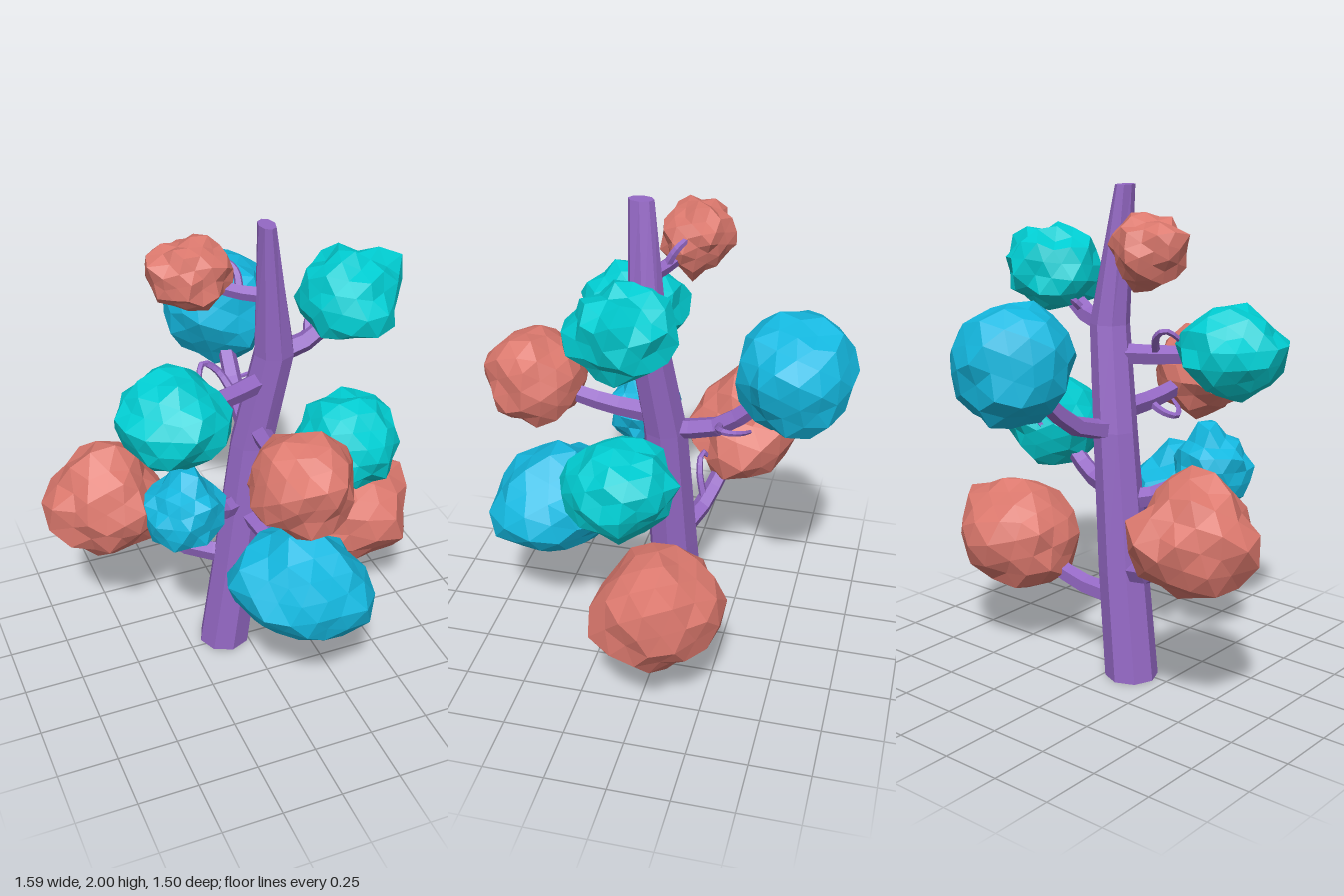
import * as THREE from 'three';
import { mergeVertices } from 'three/addons/utils/BufferGeometryUtils.js';

const RED = 0xdb786d, TEAL = 0x00cdd2, BLUE = 0x14b8e0, PURPLE = 0x9468c4;
const UP = new THREE.Vector3(0, 1, 0);

function seeded(seed) {
  let s = seed * 7919 + 17;
  return () => (s = (s * 16807) % 2147483647) / 2147483647;
}

function makeMesh(name, geometry, color) {
  const flat = geometry.toNonIndexed();
  flat.computeVertexNormals();
  const mesh = new THREE.Mesh(flat, new THREE.MeshStandardMaterial({ color, flatShading: true }));
  mesh.name = name;
  return mesh;
}

// Leaning trunk: rows of [y, centre x, centre z, radius x, radius z]
const trunkRows = [
  [0, -0.09, -0.03, 0.11, 0.11],
  [0.45, -0.035, -0.015, 0.103, 0.103],
  [1.03, 0.025, 0.005, 0.09, 0.09],
  [1.45, 0.095, 0.055, 0.082, 0.08],
  [2, 0.045, 0.09, 0.032, 0.05],
];

function trunk() {
  const n = trunkRows.length - 1;
  const geo = new THREE.CylinderGeometry(1, 1, 1, 8, n);
  const p = geo.attributes.position;
  for (let i = 0; i < p.count; i++) {
    const [y, cx, cz, rx, rz] = trunkRows[Math.round((p.getY(i) + 0.5) * n)];
    p.setXYZ(i, cx + p.getX(i) * rx, y, cz + p.getZ(i) * rz);
  }
  return makeMesh('trunk', geo, PURPLE);
}

// Point on the trunk's centre line at height y
function trunkCentre(y) {
  const i = trunkRows.findIndex((row) => row[0] > y);
  const [y0, x0, z0] = trunkRows[i - 1], [y1, x1, z1] = trunkRows[i];
  const t = (y - y0) / (y1 - y0);
  return new THREE.Vector3(x0 + (x1 - x0) * t, y, z0 + (z1 - z0) * t);
}

// Tapered tube along a curve
function limb(name, curve, r0, r1, segments) {
  const sides = 5;
  const geo = new THREE.TubeGeometry(curve, segments, 1, sides);
  const p = geo.attributes.position, q = new THREE.Vector3();
  for (let i = 0; i < p.count; i++) {
    const t = Math.floor(i / (sides + 1)) / segments;
    const c = curve.getPointAt(t);
    q.fromBufferAttribute(p, i).sub(c).multiplyScalar(r0 + (r1 - r0) * t).add(c);
    p.setXYZ(i, q.x, q.y, q.z);
  }
  return makeMesh(name, geo, PURPLE);
}

// Branch leaves the trunk nearly level, then sweeps to the clump
function branchCurve(start, end) {
  const steps = [[0, 0], [0.4, 0.15], [0.68, 0.5], [1, 1]];
  return new THREE.CatmullRomCurve3(steps.map(([out, rise]) => {
    const point = start.clone().lerp(end, out);
    point.y = start.y + (end.y - start.y) * rise;
    return point;
  }));
}

// Tendril hooks off the branch, swinging sideways and up or down
function tendrilCurve(branch, [side, lift]) {
  const base = branch.getPointAt(0.37);
  const along = branch.getTangentAt(0.37).setY(0).normalize();
  const across = along.clone().cross(UP);
  return new THREE.CatmullRomCurve3([0, 0.25, 0.5, 0.75, 0.92].map((turn) => {
    const a = turn * Math.PI;
    return base.clone().addScaledVector(along, 0.065 * (1 - Math.cos(a)))
      .addScaledVector(across, side * Math.sin(a)).addScaledVector(UP, lift * Math.sin(a));
  }));
}

// Faceted leaf clump with centre c and half-size r, roughened and pulled out at its peaks
function clump({ name, color, c, r, peaks = [], rough = 0.14 }, seed) {
  const rand = seeded(seed + 3);
  let geo = new THREE.IcosahedronGeometry(1, 2);
  geo.deleteAttribute('normal');
  geo.deleteAttribute('uv');
  geo = mergeVertices(geo, 1e-3);
  geo.rotateX(seed * 1.3).rotateY(seed * 2.1);
  const pulls = peaks.map((d) => new THREE.Vector3(...d).normalize());
  const p = geo.attributes.position, q = new THREE.Vector3();
  for (let i = 0; i < p.count; i++) {
    q.fromBufferAttribute(p, i).normalize();
    let k = 1 + (rand() - 0.6) * rough * 1.6;
    for (const d of pulls) k += 0.26 * Math.max(0, q.dot(d)) ** 10;
    q.multiplyScalar(k);
    p.setXYZ(i, q.x, q.y, q.z);
  }
  geo.center();
  geo.computeBoundingBox();
  const half = geo.boundingBox.max;
  geo.scale(r[0] / half.x, r[1] / half.y, r[2] / half.z).translate(...c);
  return makeMesh(name + 'Leaves', geo, color);
}

// Each bough: clump centre and half-size, height on the trunk, optional tendril swing
const boughs = [
  { name: 'lowRight', color: RED, c: [0.51, 0.51, -0.085], r: [0.28, 0.24, 0.255], from: 0.32,
    peaks: [[1, 0.5, 0.1], [0, 0.1, -1], [0.6, -0.1, 1]], rough: 0.11 },
  { name: 'lowLeft', color: RED, c: [-0.53, 0.77, -0.22], r: [0.27, 0.25, 0.24], from: 0.45,
    peaks: [[0.1, 1, -0.2], [0.5, 0.2, -1], [1, -0.3, -0.2], [-1, 0.1, 0]], curl: [-0.06, 0.2] },
  { name: 'lowFront', color: BLUE, c: [0.04, 0.645, 0.455], r: [0.285, 0.235, 0.265], from: 0.7,
    peaks: [[0, 1, 0], [-1, 0.3, -0.2], [1, -0.2, 0.6]], rough: 0.11 },
  { name: 'middleLeft', color: BLUE, c: [-0.325, 0.91, 0.18], r: [0.165, 0.175, 0.16], from: 0.74,
    peaks: [[0.1, 1, 0]], curl: [0.05, -0.1] },
  { name: 'middleRight', color: TEAL, c: [0.425, 0.99, 0.085], r: [0.215, 0.19, 0.235], from: 0.77 },
  { name: 'middleFront', color: RED, c: [0, 1.175, 0.55], r: [0.21, 0.205, 0.2], from: 1.1,
    curl: [0.1, -0.06] },
  { name: 'back', color: BLUE, c: [0.085, 1.375, -0.525], r: [0.235, 0.235, 0.225], from: 1.03,
    rough: 0.12, curl: [0.13, 0.05] },
  { name: 'upperLeft', color: TEAL, c: [-0.385, 1.36, 0.235], r: [0.215, 0.19, 0.23], from: 1.33,
    curl: [0.1, 0.12] },
  { name: 'upperRight', color: TEAL, c: [0.415, 1.65, 0.075], r: [0.21, 0.18, 0.22], from: 1.44,
    peaks: [[1, 0.5, 0], [0, -0.2, 1]], rough: 0.16, curl: [-0.08, 0.08] },
  { name: 'top', color: RED, c: [-0.2, 1.765, -0.075], r: [0.17, 0.155, 0.145], from: 1.7,
    peaks: [[-1, 0.3, 0], [0.5, -1, 0]], rough: 0.16, thick: 0.032, curl: [0.05, 0.1] },
];

export function createModel() {
  const tree = new THREE.Group();
  tree.name = 'tree';
  tree.add(trunk());
  boughs.forEach((b, i) => {
    const bough = new THREE.Group();
    bough.name = b.name + 'Bough';
    const thick = b.thick ?? 0.045;
    const branch = branchCurve(trunkCentre(b.from), new THREE.Vector3(...b.c));
    bough.add(limb(b.name + 'Branch', branch, thick, thick * 0.75, 6));
    if (b.curl) bough.add(limb(b.name + 'Tendril', tendrilCurve(branch, b.curl), 0.019, 0.008, 12));
    bough.add(clump(b, i + 1));
    tree.add(bough);
  });
  return tree;
}
